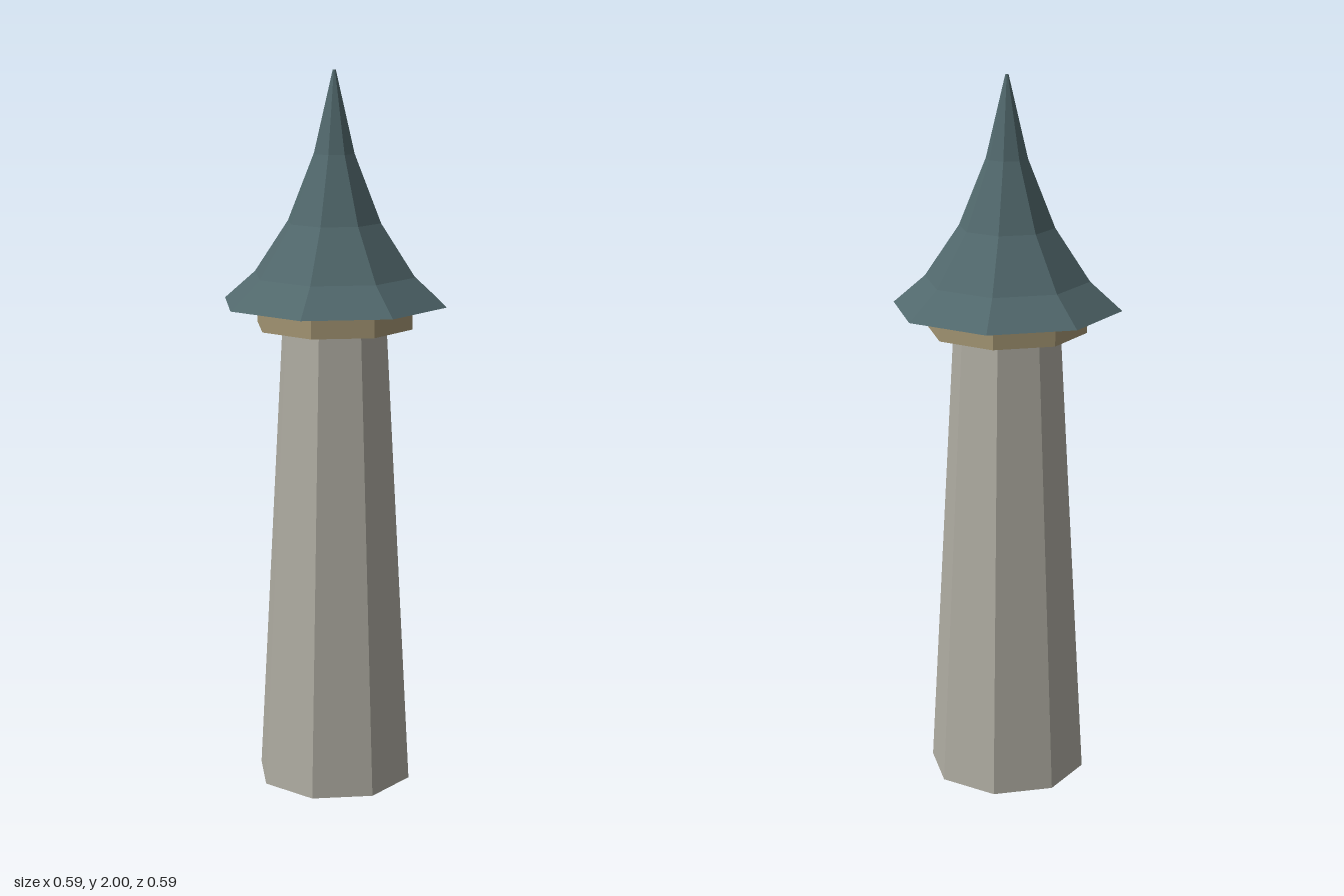
import * as THREE from 'three';

const SIDES = 8;
const TURN = Math.PI / SIDES; // puts flat faces on the axes

export function createModel() {
  const flat = (name, color) => {
    const m = new THREE.MeshStandardMaterial({ color, flatShading: true });
    m.name = name;
    return m;
  };
  const stone = flat('stone', 0xafaca2);
  const timber = flat('timber', 0xa39573);
  const slate = flat('slate', 0x51686c);

  const group = new THREE.Group();
  group.name = 'tower';

  // Octagonal solid from a profile of [distance to flat face, height], bottom to top
  const addPart = (name, profile, material) => {
    const points = profile.map(([a, y]) => new THREE.Vector2(a / Math.cos(TURN), y));
    const mesh = new THREE.Mesh(new THREE.LatheGeometry(points, SIDES, TURN), material);
    mesh.name = name;
    group.add(mesh);
  };

  // Tapered shaft
  addPart('shaft', [[0, 0], [0.205, 0], [0.138, 1.305], [0, 1.305]], stone);

  // Collar under the eaves
  addPart('collar', [[0, 1.305], [0.205, 1.305], [0.205, 1.37], [0, 1.37]], timber);

  // Flared spire roof with a flat underside
  addPart('roof', [
    [0, 1.37], [0.293, 1.37], [0.211, 1.448], [0.122, 1.592],
    [0.053, 1.777], [0.004, 2], [0, 2],
  ], slate);

  return group;
}
